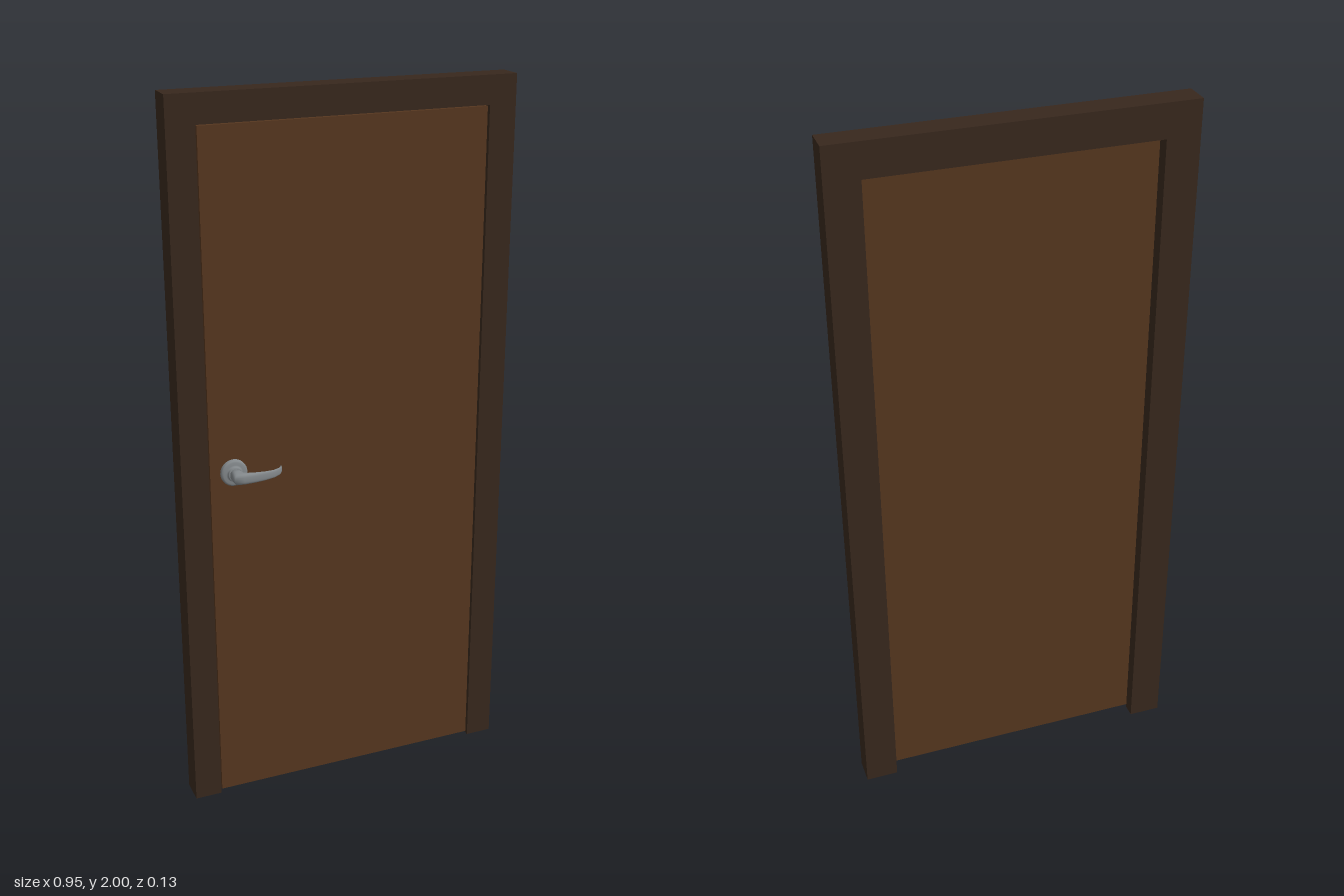
import * as THREE from 'three';

const paint = (color) => new THREE.MeshStandardMaterial({ color });

// Upside-down U outline: full frame outside, given opening inside
function frameLayer(halfOpening, openingTop, z0, z1) {
  const W = 0.475, H = 2;
  const shape = new THREE.Shape([
    [-W, 0], [-halfOpening, 0], [-halfOpening, openingTop], [halfOpening, openingTop],
    [halfOpening, 0], [W, 0], [W, H], [-W, H],
  ].map(([x, y]) => new THREE.Vector2(x, y)));
  const g = new THREE.ExtrudeGeometry(shape, { depth: z1 - z0, bevelEnabled: false });
  return g.translate(0, 0, z0);
}

// Lever skin: oval rings between outer and inner edge points in the x-z plane
function leverGeometry() {
  // outer x, outer z, inner x, inner z, half height
  const stations = [
    [-0.345, 0.018, -0.313, 0.018, 0.016],
    [-0.346, 0.04, -0.314, 0.034, 0.016],
    [-0.346, 0.064, -0.309, 0.043, 0.0155],
    [-0.32, 0.066, -0.3, 0.049, 0.015],
    [-0.29, 0.066, -0.285, 0.052, 0.014],
    [-0.26, 0.063, -0.26, 0.054, 0.0125],
    [-0.232, 0.057, -0.235, 0.051, 0.011],
    [-0.212, 0.045, -0.216, 0.041, 0.01],
    [-0.203, 0.031, -0.206, 0.03, 0.009],
    [-0.2, 0.017, -0.202, 0.017, 0.006],
  ];
  const N = 20, pos = [], index = [];
  const soft = (v) => Math.sign(v) * Math.abs(v) ** 0.75;
  for (const [ox, oz, ix, iz, h] of stations) {
    for (let j = 0; j < N; j++) {
      const a = (j / N) * Math.PI * 2;
      const t = (1 + soft(Math.cos(a))) / 2;
      pos.push(ix + (ox - ix) * t, 1.002 + h * soft(Math.sin(a)), iz + (oz - iz) * t);
    }
  }
  for (let i = 0; i < stations.length - 1; i++) {
    for (let j = 0; j < N; j++) {
      const a = i * N + j, b = i * N + (j + 1) % N;
      index.push(a, a + N, b, b, a + N, b + N);
    }
  }
  // End caps
  const last = (stations.length - 1) * N;
  for (let j = 1; j < N - 1; j++) {
    index.push(0, j, j + 1, last, last + j + 1, last + j);
  }
  const g = new THREE.BufferGeometry();
  g.setAttribute('position', new THREE.Float32BufferAttribute(pos, 3));
  g.setIndex(index);
  g.computeVertexNormals();
  return g;
}

export function createModel() {
  const model = new THREE.Group();
  model.name = 'door';
  const frameMat = paint(0x38281d);
  const doorMat = paint(0x56371f);
  const metal = paint(0x84898c);
  metal.side = THREE.DoubleSide;

  const add = (name, geometry, material, parent = model) => {
    const mesh = new THREE.Mesh(geometry, material);
    mesh.name = name;
    parent.add(mesh);
    return mesh;
  };

  // Frame with a rebate: wide opening in front, narrower stop behind
  add('frameFront', frameLayer(0.399, 1.923, -0.03, 0.006), frameMat);
  add('frameStop', frameLayer(0.383, 1.907, -0.067, -0.03), frameMat);

  // Door leaf, sitting in the rebate with a thin gap all round
  add('doorLeaf', new THREE.BoxGeometry(0.79, 1.91, 0.031), doorMat).position.set(0, 0.965, -0.0135);

  // Handle: round rose with a softened rim, collar and curved lever
  const handle = new THREE.Group();
  handle.name = 'handle';
  model.add(handle);
  const profile = [
    [0.037, 0], [0.037, 0.008], [0.035, 0.011], [0.031, 0.013], [0.024, 0.013],
    [0.021, 0.014], [0.019, 0.016], [0.019, 0.022], [0.0, 0.022],
  ].map(([r, z]) => new THREE.Vector2(r, z));
  const rose = add('handleRose', new THREE.LatheGeometry(profile, 32), metal, handle);
  rose.rotation.x = Math.PI / 2;
  rose.position.set(-0.33, 1.002, 0.001);
  add('handleLever', leverGeometry(), metal, handle);

  return model;
}
